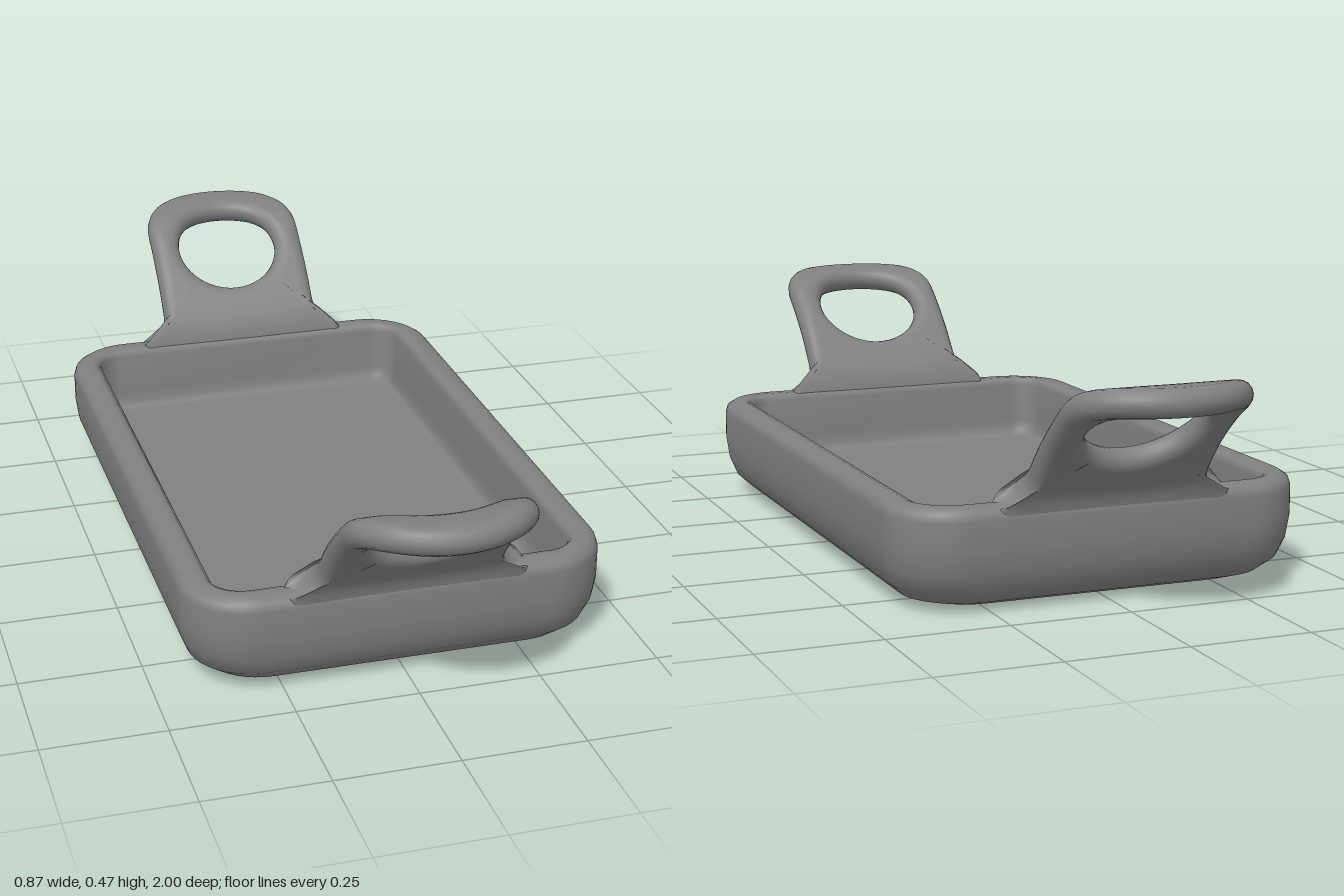
import * as THREE from 'three';

const clay = new THREE.MeshStandardMaterial({ color: 0x808080 });
clay.name = 'grey';

// Smooth surface from rows of points; every row is a closed loop.
function skin(rows, wrapRows) {
  const n = rows[0].length, m = rows.length, index = [];
  for (let j = 0; j < (wrapRows ? m : m - 1); j++) {
    for (let i = 0; i < n; i++) {
      const a = j * n + i, b = j * n + (i + 1) % n;
      const c = ((j + 1) % m) * n + i, d = ((j + 1) % m) * n + (i + 1) % n;
      index.push(a, c, b, b, c, d);
    }
  }
  const geo = new THREE.BufferGeometry();
  geo.setAttribute('position', new THREE.Float32BufferAttribute(rows.flat(2), 3));
  geo.setIndex(index);
  geo.computeVertexNormals();
  return geo;
}

// Horizontal rounded rectangle with half sizes a, b and corner radius r.
function roundedRing(a, b, r, y) {
  const points = [], steps = 10;
  const corners = [[1, 1], [-1, 1], [-1, -1], [1, -1]];
  corners.forEach(([sx, sz], k) => {
    for (let i = 0; i <= steps; i++) {
      const t = (k + i / steps) * Math.PI / 2;
      points.push([sx * (a - r) + r * Math.cos(t), y, sz * (b - r) + r * Math.sin(t)]);
    }
  });
  return points;
}

// Dish: underside, outer wall, rim, inner wall and floor in one skin.
function trayGeometry() {
  const profile = [ // inset, height, corner radius
    [0.12, 0.003, 0.10], [0.085, 0.006, 0.11], [0.05, 0.019, 0.12], [0.022, 0.045, 0.13],
    [0.006, 0.085, 0.138], [0, 0.13, 0.14], [0, 0.19, 0.14], [0.005, 0.206, 0.135],
    [0.018, 0.215, 0.125], [0.045, 0.216, 0.09], [0.058, 0.212, 0.07], [0.067, 0.2, 0.055],
    [0.072, 0.11, 0.05], [0.077, 0.086, 0.047], [0.085, 0.077, 0.045], [0.1, 0.074, 0.04],
  ];
  const rows = profile.map(([d, y, r]) => roundedRing(0.435 - d, 0.685 - d, r, y));
  rows.unshift(roundedRing(0, 0, 0, 0.003));
  rows.push(roundedRing(0, 0, 0, 0.074));
  return skin(rows, false);
}

// Handle: a flat tab with a round hole, bent along a rising curve.
function handleGeometry() {
  const path = new THREE.CatmullRomCurve3([
    [0.17, 0.654], [0.222, 0.659], [0.30, 0.713], [0.37, 0.782],
    [0.428, 0.86], [0.446, 0.92], [0.45, 1.0],
  ].map(([y, z]) => new THREE.Vector3(0, y, z)));
  const length = path.getLength();
  const half = 0.028, round = 0.028, centre = 0.27;

  const w = 0.187;
  const outline = new THREE.Shape();
  outline.moveTo(-0.25, 0);
  outline.lineTo(0.25, 0);
  outline.lineTo(0.25, 0.04);
  outline.quadraticCurveTo(0.19, 0.045, w, 0.11);
  outline.lineTo(w, length - 0.165);
  outline.absellipse(0, length - 0.165, w, 0.165, 0, Math.PI, false);
  outline.lineTo(-w, 0.11);
  outline.quadraticCurveTo(-0.19, 0.045, -0.25, 0.04);
  outline.lineTo(-0.25, 0);
  const outer = outline.getSpacedPoints(160).slice(0, -1);
  const inner = outer.map((p) => {
    const over = Math.max(Math.abs(p.x) - w, 0);
    const x = Math.sign(p.x) * (Math.abs(p.x) - over * 0.85);
    const t = Math.atan2(p.y - centre, x);
    return new THREE.Vector2(0.12 * Math.cos(t), centre + 0.11 * Math.sin(t));
  });

  // Section loop: [position from hole to edge, inset from that end, height]
  const section = [];
  for (let k = 0; k <= 8; k++) {
    const t = Math.PI * (k / 8 - 0.5);
    section.push([0, round * (1 - Math.cos(t)), half * Math.sin(t)]);
  }
  for (const f of [0.25, 0.5, 0.75]) section.push([f, 0, half]);
  for (let k = 0; k <= 8; k++) {
    const t = Math.PI * (0.5 - k / 8);
    section.push([1, -round * (1 - Math.cos(t)), half * Math.sin(t)]);
  }
  for (const f of [0.75, 0.5, 0.25]) section.push([f, 0, -half]);

  const rows = section.map(([f, inset, h]) => outer.map((o, i) => {
    const dir = o.clone().sub(inner[i]);
    const span = dir.length();
    dir.normalize();
    const along = f === 0 || f === 1 ? f * span + inset : round + f * (span - 2 * round);
    const p = inner[i].clone().addScaledVector(dir, along);
    const u = THREE.MathUtils.clamp(p.y / length, 0, 1);
    const c = path.getPointAt(u), t = path.getTangentAt(u);
    return [p.x, c.y + t.z * h, c.z - t.y * h];
  }));
  // Reversed rows turn the faces outward
  return skin(rows.reverse(), true);
}

export function createModel() {
  const model = new THREE.Group();
  model.name = 'servingTray';

  const tray = new THREE.Mesh(trayGeometry(), clay);
  tray.name = 'tray';
  model.add(tray);

  const handle = handleGeometry();
  for (const [name, turn] of [['frontHandle', 0], ['backHandle', Math.PI]]) {
    const mesh = new THREE.Mesh(handle, clay);
    mesh.name = name;
    mesh.rotation.y = turn;
    model.add(mesh);
  }
  return model;
}
